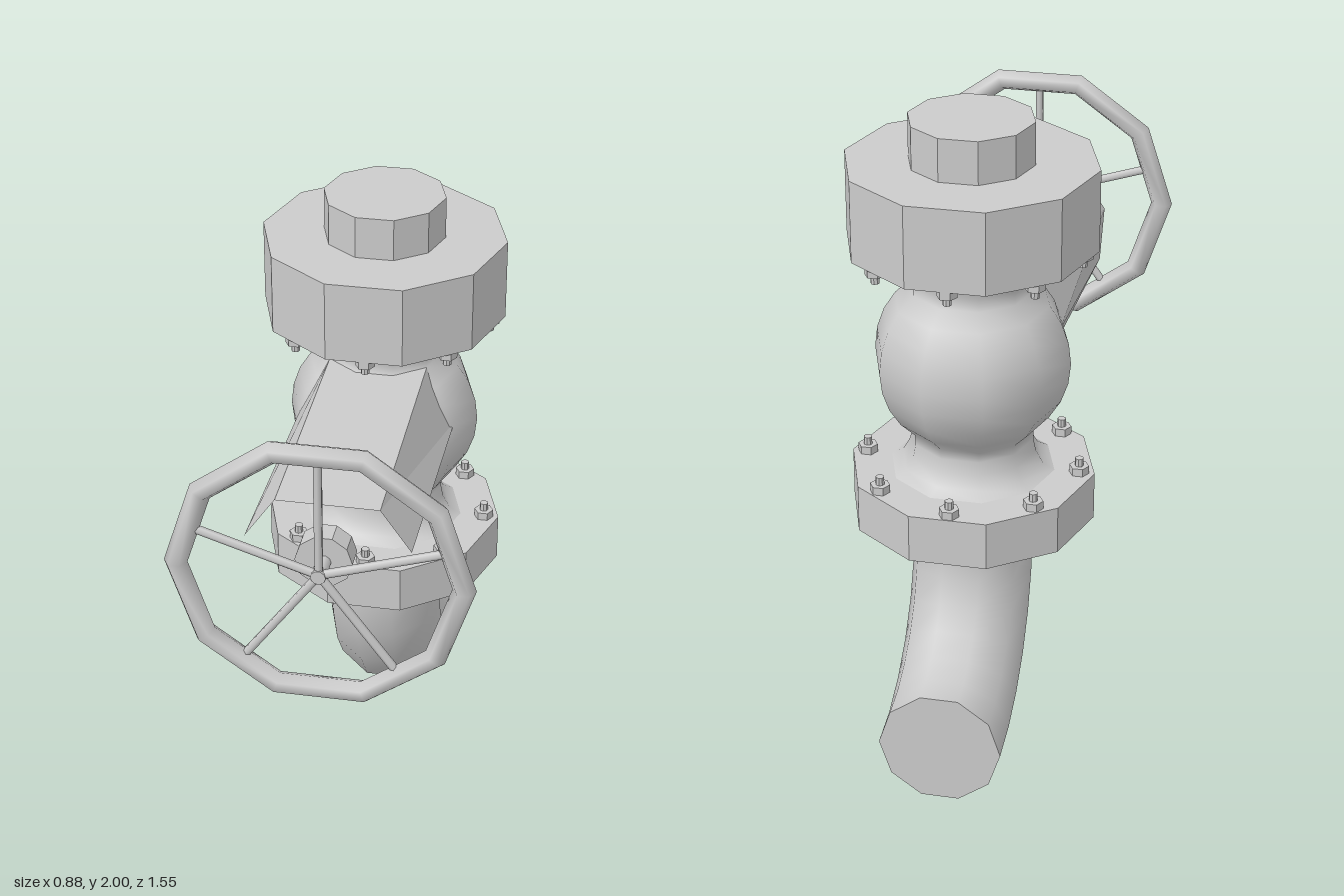
import * as THREE from 'three';

const AXIS_Z = -0.29; // pipe axis
const STEM_Y = 1.33; // handwheel axis
const SIDES = 10;
const smooth = new THREE.MeshStandardMaterial({ color: 0xcccccc, side: THREE.DoubleSide });
const flat = new THREE.MeshStandardMaterial({ color: 0xcccccc, flatShading: true });

function add(parent, name, geometry, material = smooth) {
  const mesh = new THREE.Mesh(geometry, material);
  mesh.name = name;
  parent.add(mesh);
  return mesh;
}

// Upright ten-sided cylinder between two heights, corners on the x axis
function drum(r, y0, y1, sides = SIDES) {
  return new THREE.CylinderGeometry(r, r, y1 - y0, sides)
    .rotateY(Math.PI / 2).translate(0, (y0 + y1) / 2, 0);
}

// Cylinder along z between two depths, on the handwheel axis
function rod(r, z0, z1) {
  return new THREE.CylinderGeometry(r, r, z1 - z0, SIDES)
    .rotateY(Math.PI / 2).rotateX(Math.PI / 2).translate(0, STEM_Y, (z0 + z1) / 2);
}

function lathe(points) {
  return new THREE.LatheGeometry(points.map(([r, y]) => new THREE.Vector2(r, y)), SIDES)
    .rotateY(Math.PI / 2);
}

// Cylinder bent through a quarter turn towards the back
function elbowGeometry(r, bend, startY) {
  const g = new THREE.CylinderGeometry(r, r, 1, SIDES, 6).rotateY(Math.PI / 2);
  const p = g.attributes.position, n = g.attributes.normal;
  const v = new THREE.Vector3(), xAxis = new THREE.Vector3(1, 0, 0);
  for (let i = 0; i < p.count; i++) {
    const a = (0.5 - p.getY(i)) * Math.PI / 2;
    const d = bend + p.getZ(i);
    p.setXYZ(i, p.getX(i), startY - d * Math.sin(a), d * Math.cos(a) - bend);
    v.fromBufferAttribute(n, i).applyAxisAngle(xAxis, a);
    n.setXYZ(i, v.x, v.y, v.z);
  }
  return g;
}

// Loft between a front and a rear outline, each a mirrored half profile
function bonnetGeometry() {
  const ring = (half, z) => [...half, ...half.slice().reverse().map(([x, y]) => [-x, y])]
    .map(([x, y]) => [x, y, z]);
  const front = ring([[0.15, 1.48], [0.24, 1.35], [0.228, 1.17]], 0.62);
  const rear = ring([[0.15, 1.48], [0.24, 1.3], [0.125, 1.02]], -0.18);
  const out = [];
  const n = front.length;
  for (let i = 0; i < n; i++) {
    const j = (i + 1) % n;
    out.push(...front[i], ...rear[i], ...rear[j], ...front[i], ...rear[j], ...front[j]);
  }
  for (let i = 1; i < n - 1; i++) {
    out.push(...front[0], ...front[i + 1], ...front[i]);
    out.push(...rear[0], ...rear[i], ...rear[i + 1]);
  }
  // reverse the winding so that faces point outwards
  const pos = [];
  for (let t = 0; t < out.length; t += 9) {
    pos.push(...out.slice(t, t + 3), ...out.slice(t + 6, t + 9), ...out.slice(t + 3, t + 6));
  }
  const g = new THREE.BufferGeometry();
  g.setAttribute('position', new THREE.Float32BufferAttribute(pos, 3));
  g.computeVertexNormals();
  return g;
}

// Ring of eight nuts with studs; dir is the way they point
function boltRing(name, y, dir) {
  const ring = new THREE.Group();
  ring.name = name;
  for (let i = 0; i < 8; i++) {
    const a = i * Math.PI / 4;
    const bolt = new THREE.Group();
    bolt.name = 'bolt';
    add(bolt, 'nut', drum(0.03, 0, 0.025, 6), flat);
    add(bolt, 'stud', drum(0.013, 0.02, 0.05, 8), flat);
    bolt.position.set(0.325 * Math.cos(a), y, 0.325 * Math.sin(a));
    if (dir < 0) bolt.rotation.x = Math.PI;
    ring.add(bolt);
  }
  return ring;
}

export function createModel() {
  const model = new THREE.Group();
  model.name = 'gateValve';

  // Vertical pipe run
  const pipe = new THREE.Group();
  pipe.name = 'pipeRun';
  pipe.position.z = AXIS_Z;
  model.add(pipe);
  add(pipe, 'topPipe', drum(0.185, 1.86, 2), flat);
  add(pipe, 'upperFlange', drum(0.372, 1.62, 1.87), flat);
  add(pipe, 'lowerFlange', drum(0.372, 0.74, 0.89), flat);
  pipe.add(boltRing('upperBolts', 1.62, -1), boltRing('lowerBolts', 0.89, 1));

  // Round valve body with flared necks
  const bulge = [];
  for (let i = 0; i <= 8; i++) {
    const a = (i / 4 - 1) * 0.894;
    bulge.push([0.295 * Math.cos(a), 1.25 + 0.295 * Math.sin(a)]);
  }
  add(pipe, 'valveBody', lathe([
    [0.25, 0.89], [0.215, 0.91], [0.193, 0.95], [0.185, 0.99],
    ...bulge,
    [0.185, 1.52], [0.193, 1.56], [0.215, 1.6], [0.25, 1.62],
  ]));

  // Outlet: flare and elbow to the back
  add(pipe, 'outletFlare', lathe([
    [0.185, 0.66], [0.192, 0.69], [0.215, 0.722], [0.265, 0.74],
  ]));
  add(pipe, 'outletElbow', elbowGeometry(0.185, 0.485, 0.66));

  // Bonnet and stem
  add(model, 'bonnet', bonnetGeometry(), flat);
  add(model, 'stemBoss', rod(0.083, 0.61, 0.68), flat);
  add(model, 'stem', rod(0.022, 0.67, 0.76));

  // Handwheel with five spokes
  const wheel = new THREE.Group();
  wheel.name = 'handwheel';
  wheel.position.set(0, STEM_Y, 0.745);
  model.add(wheel);
  add(wheel, 'rim', new THREE.TorusGeometry(0.408, 0.034, 6, SIDES));
  for (let i = 0; i < 5; i++) {
    const spoke = add(wheel, 'spoke', new THREE.CylinderGeometry(0.013, 0.013, 0.39, 6).translate(0, 0.195, 0));
    spoke.rotation.z = i * Math.PI * 2 / 5;
  }
  return model;
}
